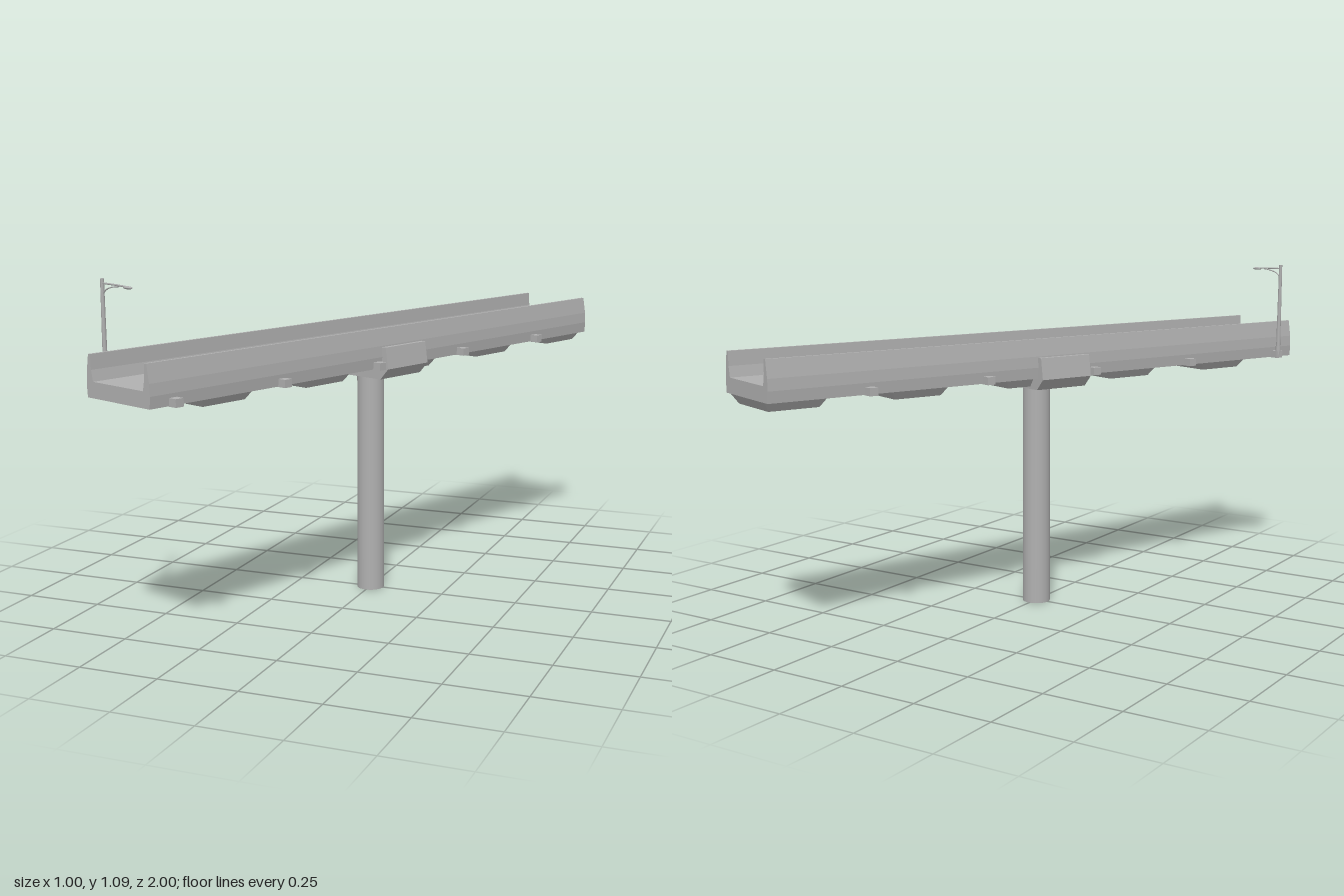
import * as THREE from 'three';

export function createModel() {
  const model = new THREE.Group();
  model.name = 'elevatedRoadSegment';
  const concrete = new THREE.MeshStandardMaterial({ color: 0xb0b0b0 });
  concrete.name = 'concreteGrey';

  const add = (parent, name, geometry, x = 0, y = 0, z = 0) => {
    const mesh = new THREE.Mesh(geometry, concrete);
    mesh.name = name;
    mesh.position.set(x, y, z);
    parent.add(mesh);
    return mesh;
  };

  // Extrudes a mirrored cross-section, given by its right half from bottom to top
  const beam = (half, length) => {
    const left = half.slice().reverse().map(([x, y]) => [-x, y]);
    const shape = new THREE.Shape([...half, ...left].map(([x, y]) => new THREE.Vector2(x, y)));
    return new THREE.ExtrudeGeometry(shape, { depth: length, bevelEnabled: false })
      .translate(0, 0, -length / 2);
  };

  // Box whose lower face is drawn in on all four sides
  const taperedPanel = (width, height, length, inset) => {
    const geometry = new THREE.BoxGeometry(width, height, length);
    const p = geometry.attributes.position;
    for (let i = 0; i < p.count; i++) {
      if (p.getY(i) > 0) continue;
      p.setX(i, p.getX(i) - Math.sign(p.getX(i)) * inset);
      p.setZ(i, p.getZ(i) - Math.sign(p.getZ(i)) * inset);
    }
    geometry.computeVertexNormals();
    return geometry;
  };

  // Pier
  add(model, 'pier', new THREE.CylinderGeometry(0.044, 0.045, 0.735, 24), 0, 0.3675, 0);

  // The road runs diagonally and rises very slightly to the back
  const road = new THREE.Group();
  road.name = 'road';
  road.rotation.set(0.003, -0.375, 0, 'YXZ');
  model.add(road);

  // Deck with leaning parapets
  add(road, 'deck', beam([
    [0.136, 0.765], [0.139, 0.8], [0.137, 0.835], [0.128, 0.889],
    [0.119, 0.889], [0.117, 0.845], [0.11, 0.812],
  ], 2.036));

  // Cradle on top of the pier
  add(road, 'pierCap', beam([
    [0.131, 0.728], [0.163, 0.763], [0.153, 0.831], [0.138, 0.831], [0.135, 0.768],
  ], 0.19));

  // Panels under the deck, and pairs of side brackets
  for (let i = 0; i < 5; i++) {
    add(road, 'undersidePanel', taperedPanel(0.232, 0.032, 0.2, 0.02), 0, 0.752, 0.718 - 0.409 * i);
    for (const side of [-1, 1]) {
      add(road, 'sideBracket', new THREE.BoxGeometry(0.045, 0.024, 0.028),
        side * 0.143, 0.776, 0.938 - 0.409 * i);
    }
  }

  // Street lamp on the front left bracket
  const lamp = new THREE.Group();
  lamp.name = 'streetLamp';
  lamp.position.set(-0.16, 0, 0.936);
  road.add(lamp);
  add(lamp, 'lampPost', new THREE.CylinderGeometry(0.0055, 0.0075, 0.315, 10), 0, 0.9325, 0);
  add(lamp, 'lampPostBase', new THREE.CylinderGeometry(0.009, 0.009, 0.02, 10), 0, 0.796, 0);

  const tube = (points, radius) => new THREE.TubeGeometry(
    new THREE.CatmullRomCurve3(points.map(([x, y]) => new THREE.Vector3(x, y, 0))), 12, radius, 6);
  add(lamp, 'lampArm', tube([[0, 1.077], [0.06, 1.076], [0.11, 1.074]], 0.0028));
  add(lamp, 'lampBrace', tube([[0, 1.045], [0.018, 1.06], [0.042, 1.068], [0.08, 1.073]], 0.002));
  const head = add(lamp, 'lampHead', new THREE.SphereGeometry(1, 12, 8), 0.115, 1.072, 0);
  head.scale.set(0.02, 0.0045, 0.007);

  return model;
}
